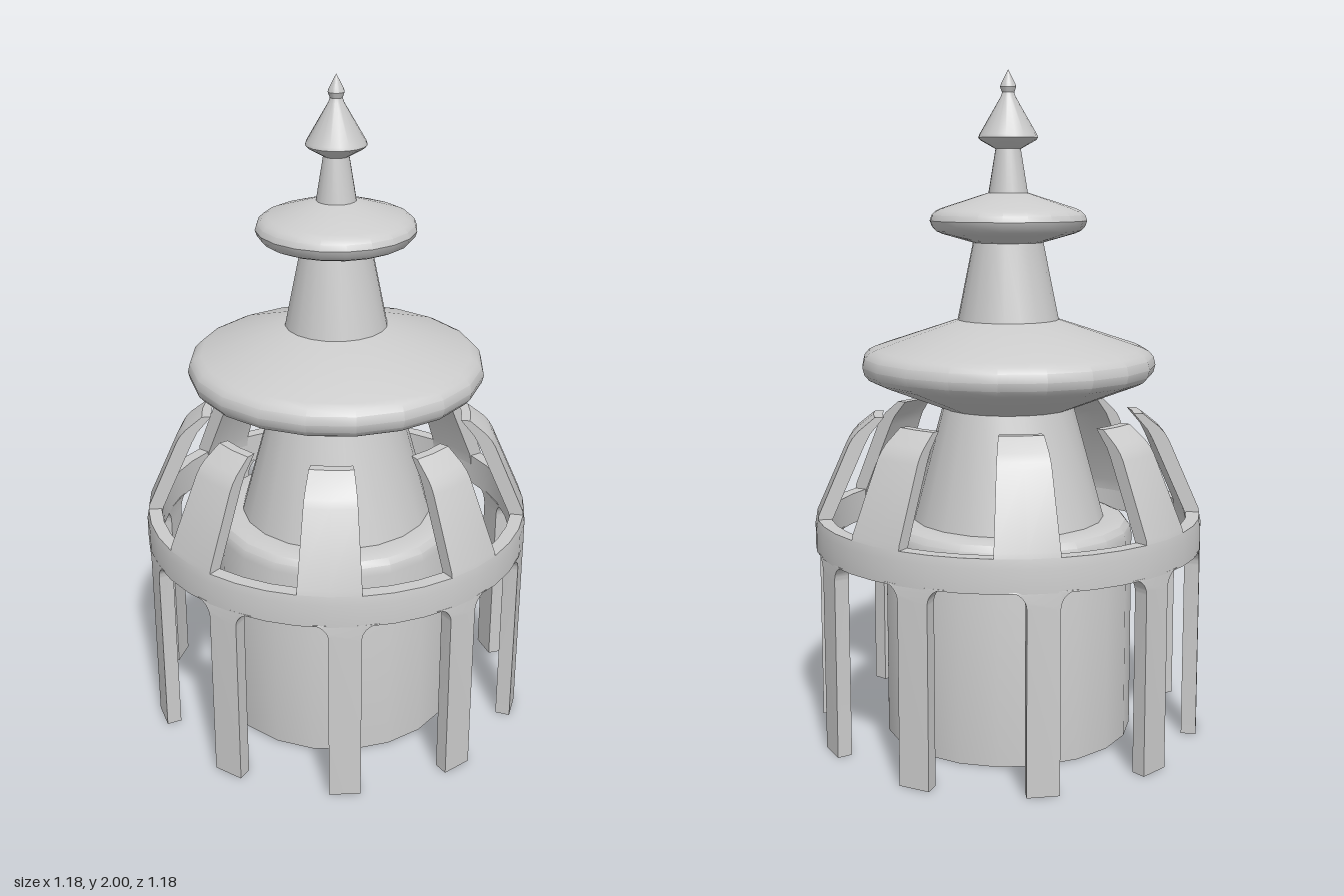
import * as THREE from 'three';
import { toCreasedNormals } from 'three/addons/utils/BufferGeometryUtils.js';

const material = new THREE.MeshStandardMaterial({ color: 0xcccccc });

function makeMesh(name, geometry, crease = 0.5) {
  const mesh = new THREE.Mesh(toCreasedNormals(geometry, crease), material);
  mesh.name = name;
  return mesh;
}

// Turned part from [radius, height] pairs, listed bottom to top
function turned(name, profile, sides = 20) {
  const points = profile.map(([r, y]) => new THREE.Vector2(r, y));
  return makeMesh(name, new THREE.LatheGeometry(points, sides));
}

// Replace every vertex by a rule
function remap(geometry, rule) {
  const p = geometry.attributes.position;
  for (let i = 0; i < p.count; i++) p.setXYZ(i, ...rule(p.getX(i), p.getY(i), p.getZ(i)));
  return geometry;
}

// Evenly spaced copies around the vertical axis
function around(name, mesh, count, startAngle) {
  const group = new THREE.Group();
  group.name = name + 's';
  for (let i = 0; i < count; i++) {
    const copy = mesh.clone();
    copy.name = name;
    copy.rotation.y = startAngle + (i * Math.PI * 2) / count;
    group.add(copy);
  }
  return group;
}

const OUTER = 0.59;
const INNER = 0.545;

// Straight post that flares with rounded corners into the ring, bent to the ring's curve
function postGeometry() {
  const half = 0.047, fillet = 0.05, top = 0.585;
  const shape = new THREE.Shape();
  shape.moveTo(-half, 0);
  shape.lineTo(half, 0);
  shape.lineTo(half, top - fillet);
  shape.absarc(half + fillet, top - fillet, fillet, Math.PI, Math.PI / 2, true);
  shape.lineTo(half, top);
  shape.lineTo(-half, top);
  shape.lineTo(-half - fillet, top);
  shape.absarc(-half - fillet, top - fillet, fillet, Math.PI / 2, 0, true);
  const geometry = new THREE.ExtrudeGeometry(shape, {
    depth: OUTER - INNER, bevelEnabled: false, curveSegments: 6,
  });
  return remap(geometry, (x, y, z) => {
    const r = INNER + z, a = x / OUTER;
    return [r * Math.sin(a), y, r * Math.cos(a)];
  });
}

// Bent rib leaning inwards, narrowing with its distance from the axis
function ribGeometry() {
  const profile = [
    [0.59, 0.645], [0.583, 0.69], [0.49, 0.9], [0.478, 0.92], [0.46, 0.94], [0.41, 0.98],
    [0.382, 0.98], [0.425, 0.93], [0.441, 0.9], [0.54, 0.68], [0.545, 0.645],
  ];
  const shape = new THREE.Shape(profile.map(([r, y]) => new THREE.Vector2(r, y)));
  const geometry = new THREE.ExtrudeGeometry(shape, { depth: 1, steps: 2, bevelEnabled: false });
  return remap(geometry, (r, y, t) => {
    const a = (0.5 - t) * 0.315;
    return [r * Math.sin(a), y, r * Math.cos(a)];
  });
}

export function createModel() {
  const model = new THREE.Group();
  model.name = 'spiredTower';

  // Solid core with a rounded shoulder and a tapering upper body
  model.add(turned('core', [
    [0, 0], [0.38, 0], [0.38, 0.61], [0.374, 0.635], [0.36, 0.652], [0.34, 0.66],
    [0.293, 0.66], [0.2, 1.0], [0, 1.0],
  ]));

  // Broad roof disc with a rounded rim
  model.add(turned('roof', [
    [0, 1.0], [0.2, 1.0], [0.405, 1.081], [0.425, 1.091], [0.439, 1.107], [0.445, 1.13],
    [0.439, 1.155], [0.425, 1.171], [0.405, 1.181], [0.153, 1.265], [0, 1.265],
  ]));

  // Neck and smaller disc
  model.add(turned('neck', [[0.155, 1.255], [0.105, 1.5]]));
  model.add(turned('upperDisc', [
    [0, 1.495], [0.105, 1.495], [0.2, 1.522], [0.218, 1.53], [0.23, 1.543], [0.236, 1.56],
    [0.23, 1.577], [0.218, 1.589], [0.2, 1.597], [0.06, 1.642], [0, 1.642],
  ]));

  // Slim stem and pointed finial
  model.add(turned('stem', [[0.06, 1.635], [0.037, 1.775]]));
  model.add(turned('finial', [
    [0, 1.77], [0.037, 1.77], [0.083, 1.796], [0.089, 1.803], [0.086, 1.812],
    [0.022, 1.922], [0.018, 1.934], [0.024, 1.95], [0.02, 1.962], [0, 2.0],
  ]));

  // Ring joining the posts below to the ribs above
  model.add(turned('ring', [
    [OUTER, 0.58], [OUTER, 0.65], [0.585, 0.677], [INNER, 0.677], [INNER, 0.58], [OUTER, 0.58],
  ], 40));
  model.add(around('post', makeMesh('post', postGeometry()), 10, THREE.MathUtils.degToRad(-4.7)));
  model.add(around('rib', makeMesh('rib', ribGeometry()), 8, 0));

  return model;
}
